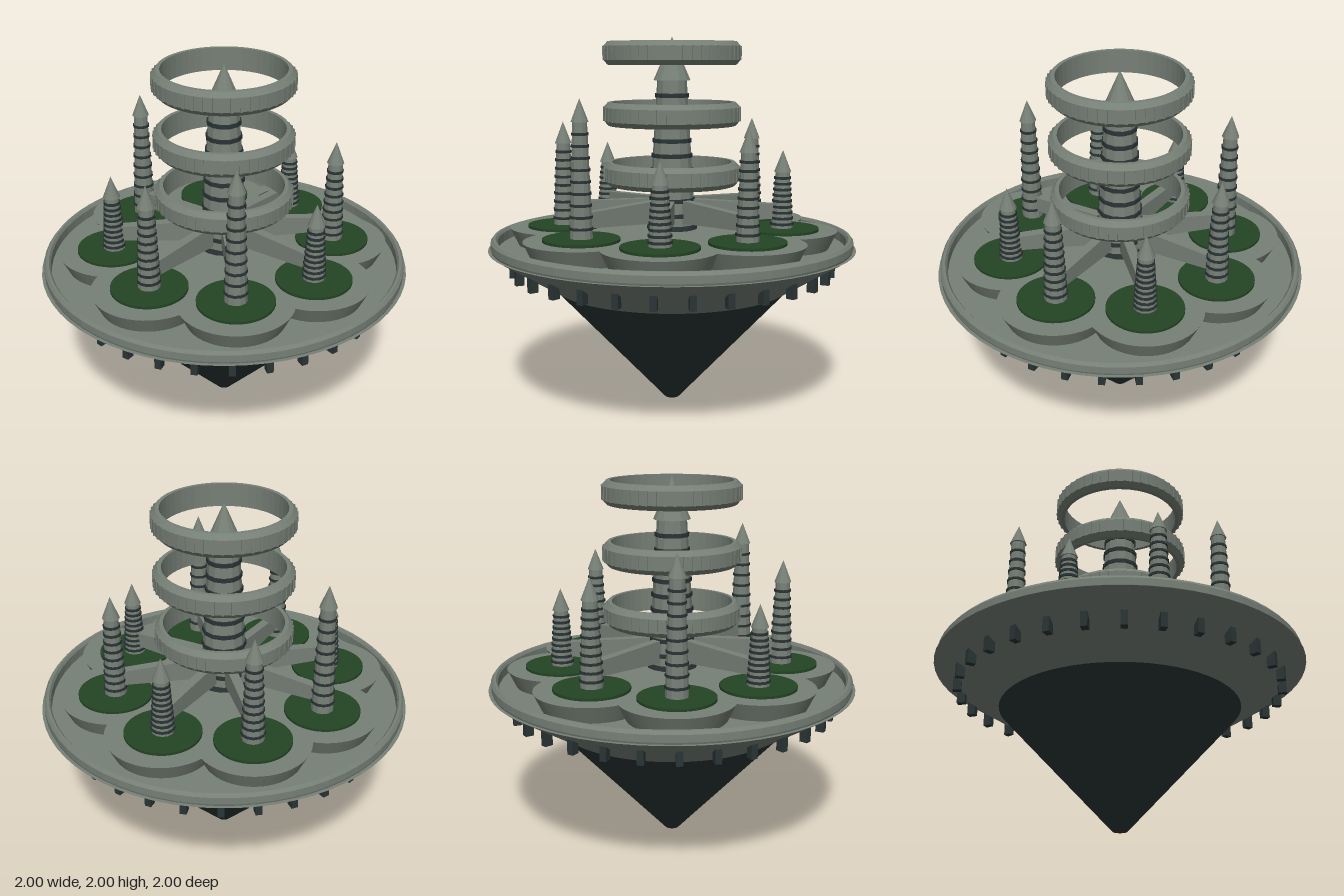
import * as THREE from 'three';

const mat = (name, color) => {
  const m = new THREE.MeshStandardMaterial({ color });
  m.name = name;
  return m;
};

export function createModel() {
  const stone = mat('stone grey', 0x778077);
  const dark = mat('dark slate', 0x2a3435);
  const green = mat('garden green', 0x234423);

  const root = new THREE.Group();
  root.name = 'floatingCity';

  const add = (parent, name, geo, material, x = 0, y = 0, z = 0) => {
    const mesh = new THREE.Mesh(geo, material);
    mesh.name = name;
    mesh.position.set(x, y, z);
    parent.add(mesh);
    return mesh;
  };
  const faceted = (geo) => {
    const g = geo.toNonIndexed();
    g.computeVertexNormals();
    return g;
  };
  const lathe = (points, segments) =>
    faceted(new THREE.LatheGeometry(points.map(([r, y]) => new THREE.Vector2(r, y)), segments));
  // cylinder or frustum given by its bottom and top heights
  const drum = (parent, name, material, rBottom, rTop, y0, y1, sides, flat = false) => {
    const g = new THREE.CylinderGeometry(rTop, rBottom, y1 - y0, sides);
    g.translate(0, (y0 + y1) / 2, 0);
    return add(parent, name, flat ? faceted(g) : g, material);
  };

  // Hull
  drum(root, 'lowerCone', dark, 0.04, 0.645, 0, 0.65, 64);
  drum(root, 'upperHull', stone, 0.645, 1.0, 0.65, 0.87, 64);
  add(root, 'rim', lathe([
    [0.96, 0.865], [0.98, 0.865], [0.985, 0.88], [0.985, 0.918], [0.972, 0.935],
    [0.958, 0.935], [0.948, 0.92], [0.948, 0.865], [0.96, 0.865]], 64), stone);

  // Lugs around the underside
  for (let i = 0; i < 30; i++) {
    const a = (i / 30) * Math.PI * 2;
    const lug = add(root, 'hullLug', new THREE.BoxGeometry(0.034, 0.085, 0.045), dark,
      Math.sin(a) * 0.868, 0.768, Math.cos(a) * 0.868);
    lug.rotation.y = a;
  }

  // Tapered shaft with dark bands and a pointed roof
  const makeTower = (name, { base, top, roof, y0, y1, tip, bands, bandHeight, lip, sides }) => {
    const tower = new THREE.Group();
    tower.name = name;
    drum(tower, 'shaft', stone, base, top, y0, y1, sides, true);
    for (let k = 1; k <= bands; k++) {
      const t = k / (bands + 1);
      const r = base + (top - base) * t + lip;
      const y = y0 + (y1 - y0) * t;
      drum(tower, 'band', dark, r, r, y - bandHeight / 2, y + bandHeight / 2, sides, true);
    }
    const cone = new THREE.ConeGeometry(roof, tip - y1, sides);
    add(tower, 'roof', faceted(cone), stone, 0, (y1 + tip) / 2, 0);
    root.add(tower);
    return tower;
  };

  // Central plaza and main spire
  drum(root, 'plaza', stone, 0.38, 0.38, 0.87, 0.965, 48);
  drum(root, 'spireFoot', dark, 0.14, 0.135, 0.96, 0.99, 16, true);
  makeTower('mainSpire', {
    base: 0.13, top: 0.08, roof: 0.1, y0: 0.965, y1: 1.77, tip: 2,
    bands: 9, bandHeight: 0.022, lip: 0.007, sides: 12,
  });

  // Spoke: a beam that is deeper at the hub
  const spokeGeo = new THREE.BoxGeometry(0.48, 1, 0.05);
  const p = spokeGeo.attributes.position;
  for (let i = 0; i < p.count; i++) {
    const half = p.getX(i) < 0 ? 0.063 : 0.04;
    p.setY(i, Math.sign(p.getY(i)) * half);
  }
  spokeGeo.translate(0.33, 1.068, 0);
  spokeGeo.computeVertexNormals();

  // Eight garden terraces, each with a tower and a spoke to the hub
  const tips = [1.4, 1.545, 1.69];
  for (let i = 0; i < 8; i++) {
    const a = (i * Math.PI) / 4;
    const x = Math.cos(a) * 0.6, z = -Math.sin(a) * 0.6;
    drum(root, 'terrace', stone, 0.255, 0.3, 0.87, 0.965, 48).position.set(x, 0, z);
    drum(root, 'garden', green, 0.2, 0.2, 0.96, 0.979, 48).position.set(x, 0, z);
    const tip = tips[i % 3];
    makeTower('tower', {
      base: 0.06, top: 0.038, roof: 0.046, y0: 0.97, y1: tip - 0.118, tip,
      bands: 9, bandHeight: 0.014, lip: 0.005, sides: 12,
    }).position.set(x, 0, z);
    add(root, 'spoke', spokeGeo, stone).rotation.y = a;
  }

  // Three hovering rings with slim ribs
  const haloGeo = lathe([
    [0.325, -0.062], [0.345, -0.062], [0.368, -0.036], [0.368, 0.036],
    [0.345, 0.062], [0.325, 0.062], [0.325, -0.062]], 48);
  const ribGeo = new THREE.BoxGeometry(0.014, 0.074, 0.01);
  for (const y of [1.27, 1.592, 1.914]) {
    const halo = new THREE.Group();
    halo.name = 'halo';
    halo.position.y = y;
    add(halo, 'haloRing', haloGeo, stone);
    for (let i = 0; i < 48; i++) {
      const a = (i / 48) * Math.PI * 2;
      add(halo, 'haloRib', ribGeo, stone, Math.sin(a) * 0.367, 0, Math.cos(a) * 0.367).rotation.y = a;
    }
    root.add(halo);
  }

  return root;
}
